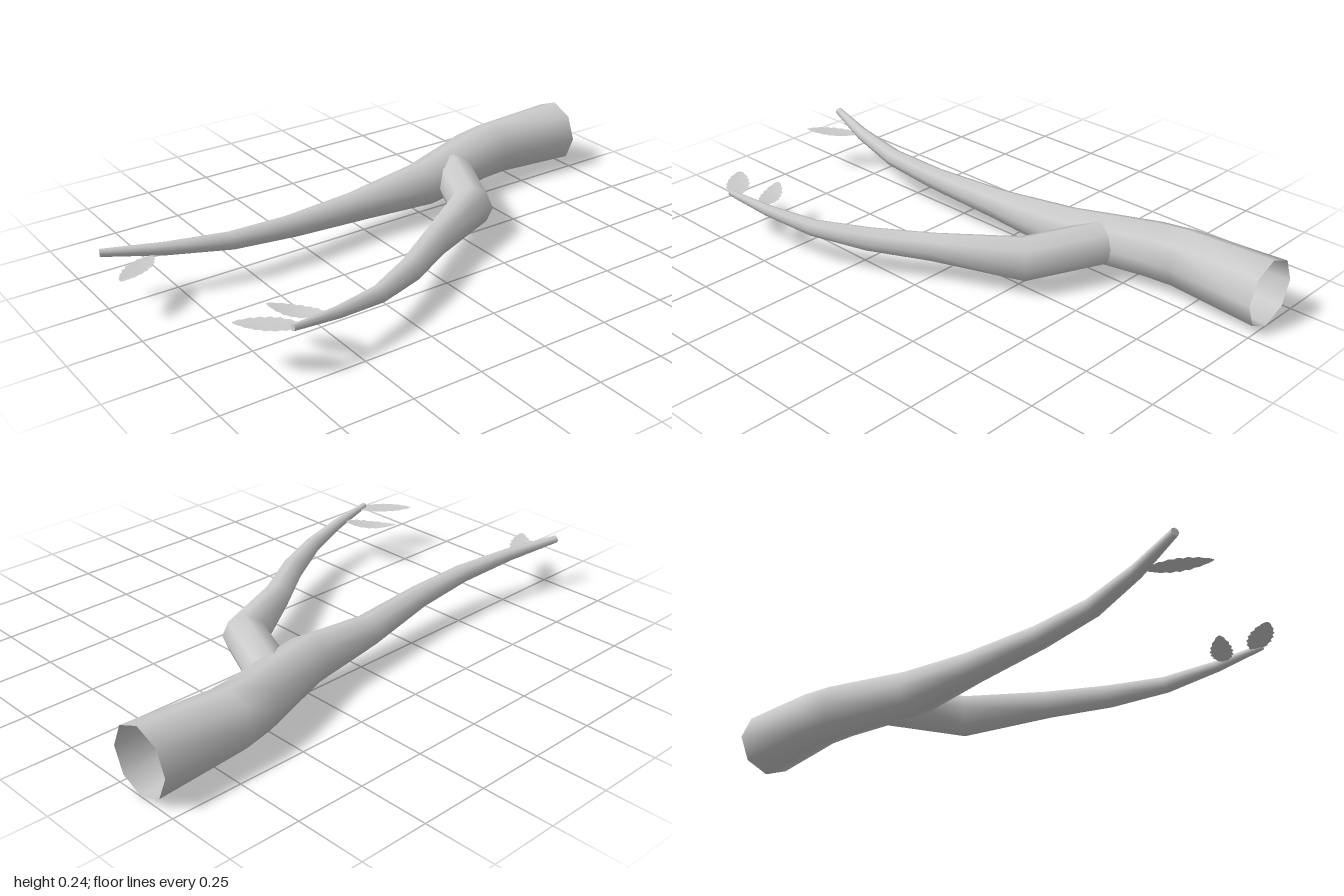
import * as THREE from 'three';

const SIDES = 8;
const material = new THREE.MeshStandardMaterial({ color: 0xcccccc, side: THREE.DoubleSide });
const UP = new THREE.Vector3(0, 1, 0);

// Tapered limb from stations [x, y, z, radius]; the start is open, the tip is capped
function limb(name, stations) {
  const centres = stations.map(([x, y, z]) => new THREE.Vector3(x, y, z));
  const last = centres.length - 1;
  const positions = [], index = [];
  const ringAt = (i, r) => {
    const tangent = new THREE.Vector3();
    if (i > 0) tangent.add(centres[i].clone().sub(centres[i - 1]).normalize());
    if (i < last) tangent.add(centres[i + 1].clone().sub(centres[i]).normalize());
    tangent.normalize();
    const side = new THREE.Vector3().crossVectors(UP, tangent).normalize();
    const up = new THREE.Vector3().crossVectors(tangent, side);
    for (let k = 0; k < SIDES; k++) {
      const a = (k / SIDES) * Math.PI * 2;
      const p = centres[i].clone().addScaledVector(side, r * Math.cos(a)).addScaledVector(up, r * Math.sin(a));
      positions.push(p.x, p.y, p.z);
    }
  };
  stations.forEach((s, i) => ringAt(i, s[3]));
  for (let i = 0; i < last; i++) {
    for (let k = 0; k < SIDES; k++) {
      const a = i * SIDES + k, b = i * SIDES + (k + 1) % SIDES;
      index.push(a, b, b + SIDES, a, b + SIDES, a + SIDES);
    }
  }
  // Separate ring for the tip cap keeps its edge sharp
  const cap = positions.length / 3;
  ringAt(last, stations[last][3]);
  for (let k = 1; k < SIDES - 1; k++) index.push(cap, cap + k, cap + k + 1);
  return mesh(name, positions, index);
}

// Thin serrated leaf, slightly folded along its midrib
function leaf(name, base, tip, halfWidth, droop) {
  const a = new THREE.Vector3(...base), b = new THREE.Vector3(...tip);
  const side = new THREE.Vector3().crossVectors(UP, b.clone().sub(a)).normalize();
  const positions = [], index = [];
  const teeth = 7, rows = teeth * 2;
  for (let i = 0; i <= rows; i++) {
    const t = i / rows;
    const bulge = Math.pow(Math.sin(Math.PI * Math.pow(t, 0.9)), 0.65);
    const w = i === 0 || i === rows ? 0.003 : halfWidth * bulge * (i % 2 ? 1.04 : 0.88);
    const mid = a.clone().lerp(b, t);
    mid.y -= droop * Math.sin(Math.PI * t);
    for (const s of [-1, 0, 1]) {
      const p = mid.clone().addScaledVector(side, s * w);
      p.y += Math.abs(s) * w * 0.08;
      positions.push(p.x, p.y, p.z);
    }
  }
  for (let i = 0; i < rows; i++) {
    for (let k = 0; k < 2; k++) {
      const p = i * 3 + k;
      index.push(p, p + 3, p + 4, p, p + 4, p + 1);
    }
  }
  return mesh(name, positions, index);
}

function mesh(name, positions, index) {
  const geometry = new THREE.BufferGeometry();
  geometry.setAttribute('position', new THREE.Float32BufferAttribute(positions, 3));
  geometry.setIndex(index);
  geometry.computeVertexNormals();
  const result = new THREE.Mesh(geometry, material);
  result.name = name;
  return result;
}

export function createModel() {
  const group = new THREE.Group();
  group.name = 'branch';

  // Main limb, open at the thick cut end
  group.add(limb('mainLimb', [
    [-0.355, 0.12, -1, 0.12],
    [-0.353, 0.122, -0.67, 0.104],
    [-0.333, 0.122, -0.56, 0.1],
    [-0.242, 0.118, -0.25, 0.084],
    [-0.228, 0.115, 0.05, 0.056],
    [-0.195, 0.132, 0.34, 0.041],
    [-0.193, 0.146, 0.57, 0.033],
    [-0.231, 0.166, 0.79, 0.024],
    [-0.29, 0.186, 0.995, 0.014],
  ]));

  // Side limb, rooted inside the main one
  group.add(limb('sideLimb', [
    [-0.243, 0.123, -0.4, 0.078],
    [0.018, 0.118, -0.283, 0.078],
    [0.17, 0.118, -0.005, 0.05],
    [0.29, 0.125, 0.18, 0.042],
    [0.38, 0.135, 0.365, 0.03],
    [0.43, 0.155, 0.55, 0.02],
    [0.458, 0.175, 0.725, 0.011],
  ]));

  // Leaves near the tips
  group.add(
    leaf('mainLimbLeaf', [-0.245, 0.146, 0.835], [-0.127, 0.156, 1.0], 0.04, 0.003),
    leaf('sideLimbLeafInner', [0.425, 0.158, 0.585], [0.263, 0.158, 0.7], 0.038, 0.011),
    leaf('sideLimbLeafOuter', [0.46, 0.17, 0.69], [0.322, 0.171, 0.85], 0.042, 0.002),
  );
  return group;
}
